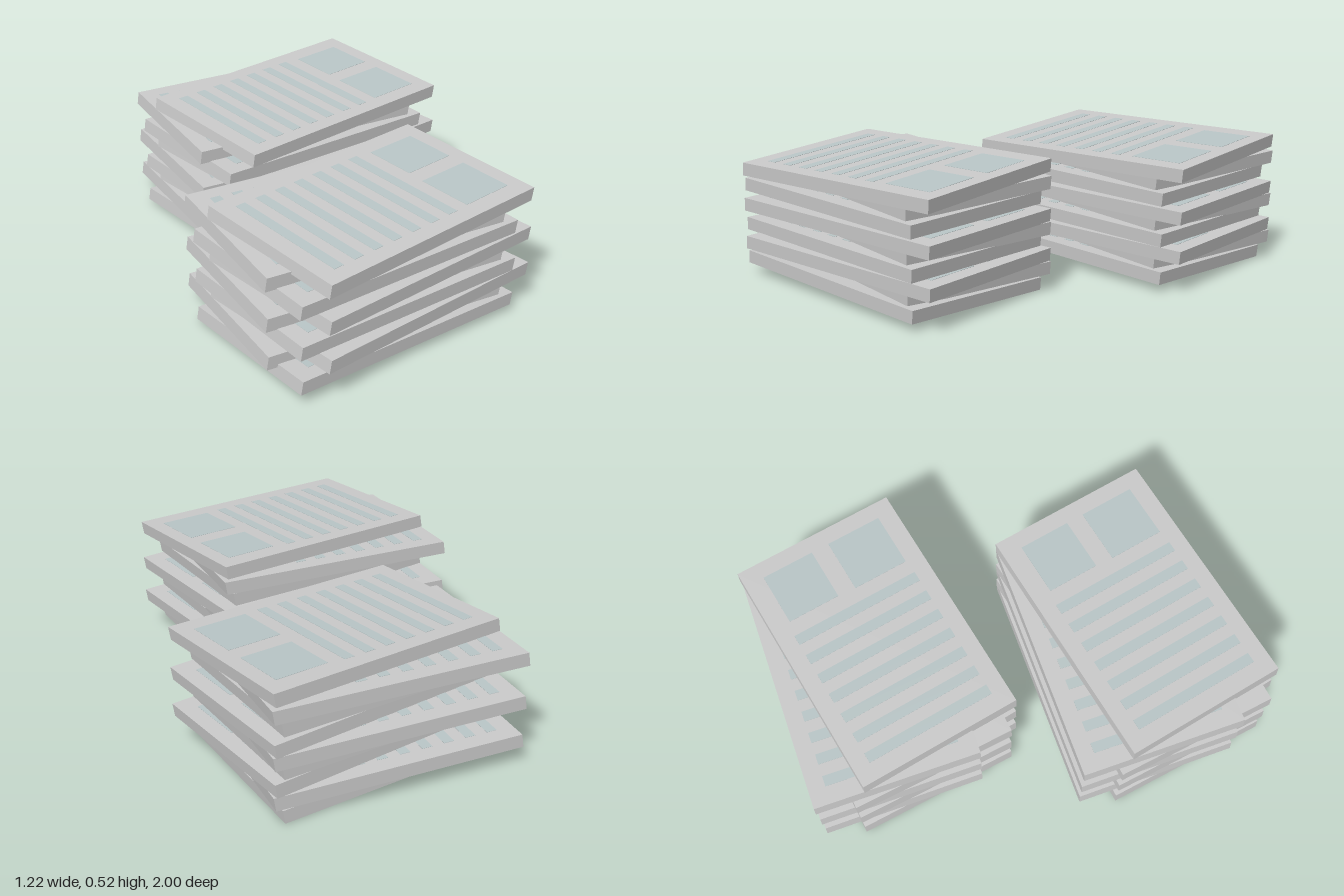
import * as THREE from 'three';

const paperMaterial = new THREE.MeshStandardMaterial({ color: 0xcccccc });
const printMaterial = new THREE.MeshStandardMaterial({ color: 0xbac7c8 });

const THICKNESS = 0.052;
const LEAN = 0.15; // slight sideways lean of the paper edges

// Three ways a paper lies: back right corner, turn in degrees, length and depth
const poses = [
  { x: 0.305, z: -0.975, turn: 20.3, length: 0.97, depth: 0.65 },
  { x: 0.34, z: -0.998, turn: 12.6, length: 0.968, depth: 0.646 },
  { x: 0.335, z: -1.0, turn: 24.3, length: 0.98, depth: 0.655 },
];

// Each paper from the bottom up: height of the back corner, rise to the left, rise to the front
const layers = [
  [0.0, 0.012, 0.03],
  [0.07, 0.0, 0.005],
  [0.122, 0.003, 0.004],
  [0.175, 0.0, 0.004],
  [0.225, 0.003, 0.0],
  [0.275, 0.003, 0.003],
  [0.34, 0.0, -0.003],
  [0.402, 0.0, -0.016],
  [0.468, -0.02, -0.028],
];

// A slab covering u0..u1 along the length and v0..v1 along the depth of a paper
function slab(pose, [height, riseLeft, riseFront], u0, u1, v0, v1, bottom, top) {
  const geometry = new THREE.BoxGeometry(1, 1, 1);
  const p = geometry.attributes.position;
  const a = THREE.MathUtils.degToRad(pose.turn);
  for (let i = 0; i < p.count; i++) {
    const u = THREE.MathUtils.lerp(u0, u1, p.getX(i) + 0.5);
    const v = THREE.MathUtils.lerp(v0, v1, p.getZ(i) + 0.5);
    const h = THREE.MathUtils.lerp(bottom, top, p.getY(i) + 0.5);
    const along = (u - 1) * pose.length;
    const across = v * pose.depth;
    p.setXYZ(
      i,
      pose.x + along * Math.cos(a) + across * Math.sin(a) + LEAN * (h - THICKNESS),
      height + riseLeft * (1 - u) + riseFront * v + h,
      pose.z - along * Math.sin(a) + across * Math.cos(a)
    );
  }
  geometry.computeVertexNormals();
  return geometry;
}

function createNewspaper(index) {
  const paper = new THREE.Group();
  paper.name = `newspaper${index + 1}`;
  const pose = poses[index % poses.length];
  const add = (name, material, ...area) => {
    const mesh = new THREE.Mesh(slab(pose, layers[index], ...area), material);
    mesh.name = name;
    paper.add(mesh);
  };
  add('foldedPages', paperMaterial, 0, 1, 0, 1, 0, THICKNESS);

  // Printed areas lie just above the front page
  const print = (name, u0, u1, v0, v1) =>
    add(name, printMaterial, u0, u1, v0, v1, THICKNESS - 0.001, THICKNESS + 0.001);
  for (let i = 0; i < 7; i++) {
    const u = 0.07 + i * 0.091;
    print('textColumn', u, u + 0.042, 0.1, 0.9);
  }
  print('backPicture', 0.72, 0.935, 0.12, 0.44);
  print('frontPicture', 0.715, 0.935, 0.55, 0.89);
  return paper;
}

export function createModel() {
  const model = new THREE.Group();
  model.name = 'newspaperStacks';
  // Two equal stacks, one behind the other
  ['backStack', 'frontStack'].forEach((name, i) => {
    const stack = new THREE.Group();
    stack.name = name;
    layers.forEach((_, k) => stack.add(createNewspaper(k)));
    stack.position.z = i;
    model.add(stack);
  });
  return model;
}
